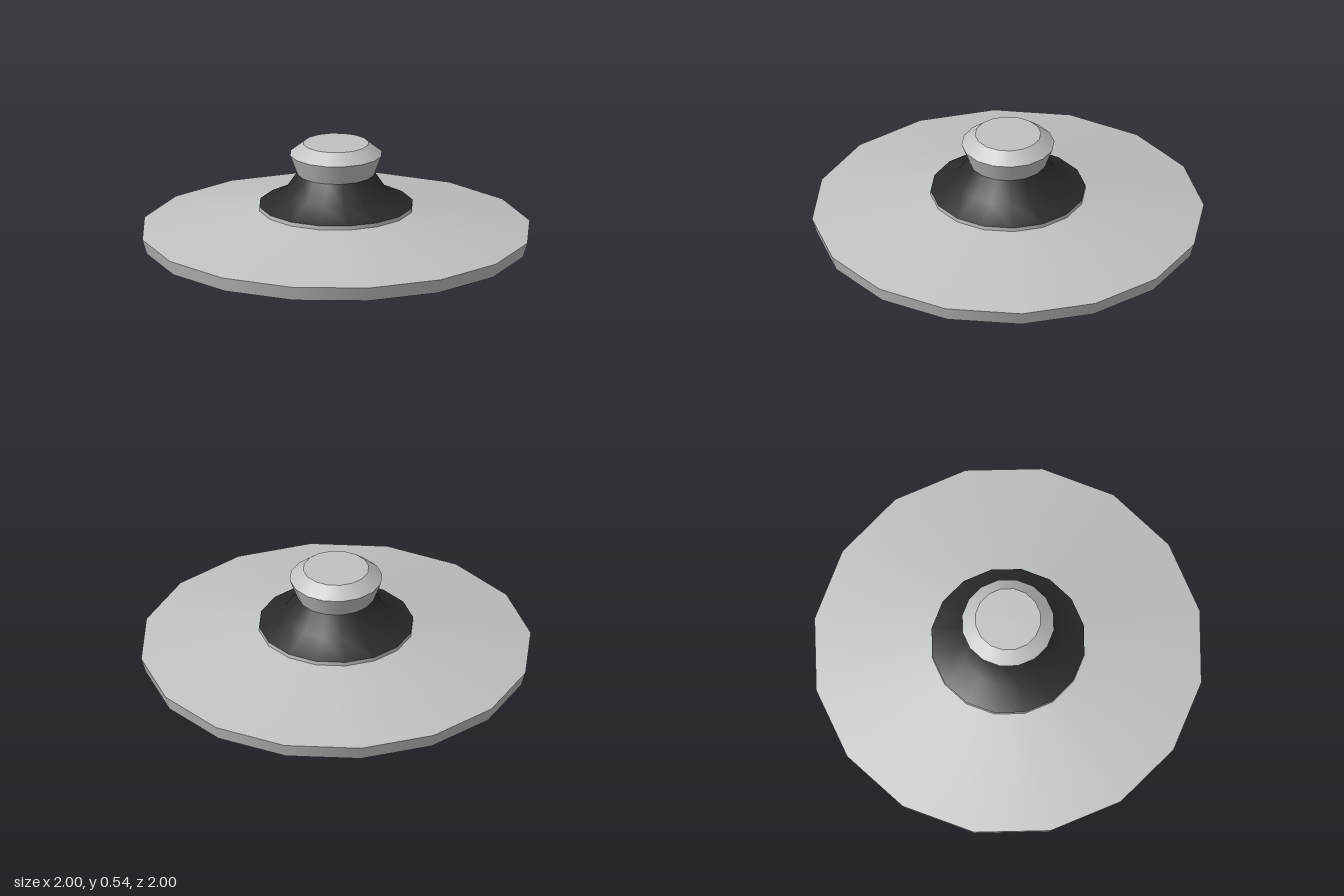
import * as THREE from 'three';

const SIDES = 16;

export function createModel() {
  const model = new THREE.Group();
  const metal = new THREE.MeshStandardMaterial({ name: 'greyMetal', color: 0xbfc2c2 });
  const rubber = new THREE.MeshStandardMaterial({ name: 'blackCollar', color: 0x2a2a2a });

  // One smooth turned band; separate bands keep the edges between them crisp
  const band = (parent, name, material, points) => {
    const profile = points.map(([r, y]) => new THREE.Vector2(r, y));
    const mesh = new THREE.Mesh(new THREE.LatheGeometry(profile, SIDES), material);
    mesh.name = name;
    parent.add(mesh);
  };
  const part = (name) => {
    const group = new THREE.Group();
    group.name = name;
    model.add(group);
    return group;
  };

  // Wide shallow lid: conical hollow underneath, flared rim and a small raised step
  const lid = part('lid');
  band(lid, 'lidUnderside', metal, [[0, 0.2], [0.978, 0]]);
  band(lid, 'lidRim', metal, [[0.978, 0], [1, 0.075]]);
  band(lid, 'lidSlope', metal, [[1, 0.075], [0.395, 0.197]]);
  band(lid, 'lidStep', metal, [[0.395, 0.197], [0.395, 0.218]]);

  // Dark flared collar under the knob
  band(part('collar'), 'collarSkirt', rubber, [[0.395, 0.218], [0.265, 0.28], [0.197, 0.38]]);

  // Knob: flared neck, chamfer and slightly domed cap
  const knob = part('knob');
  band(knob, 'knobNeck', metal, [[0.197, 0.38], [0.237, 0.485]]);
  band(knob, 'knobChamfer', metal, [[0.237, 0.485], [0.168, 0.54]]);
  band(knob, 'knobCap', metal, [[0.168, 0.54], [0, 0.543]]);

  return model;
}
